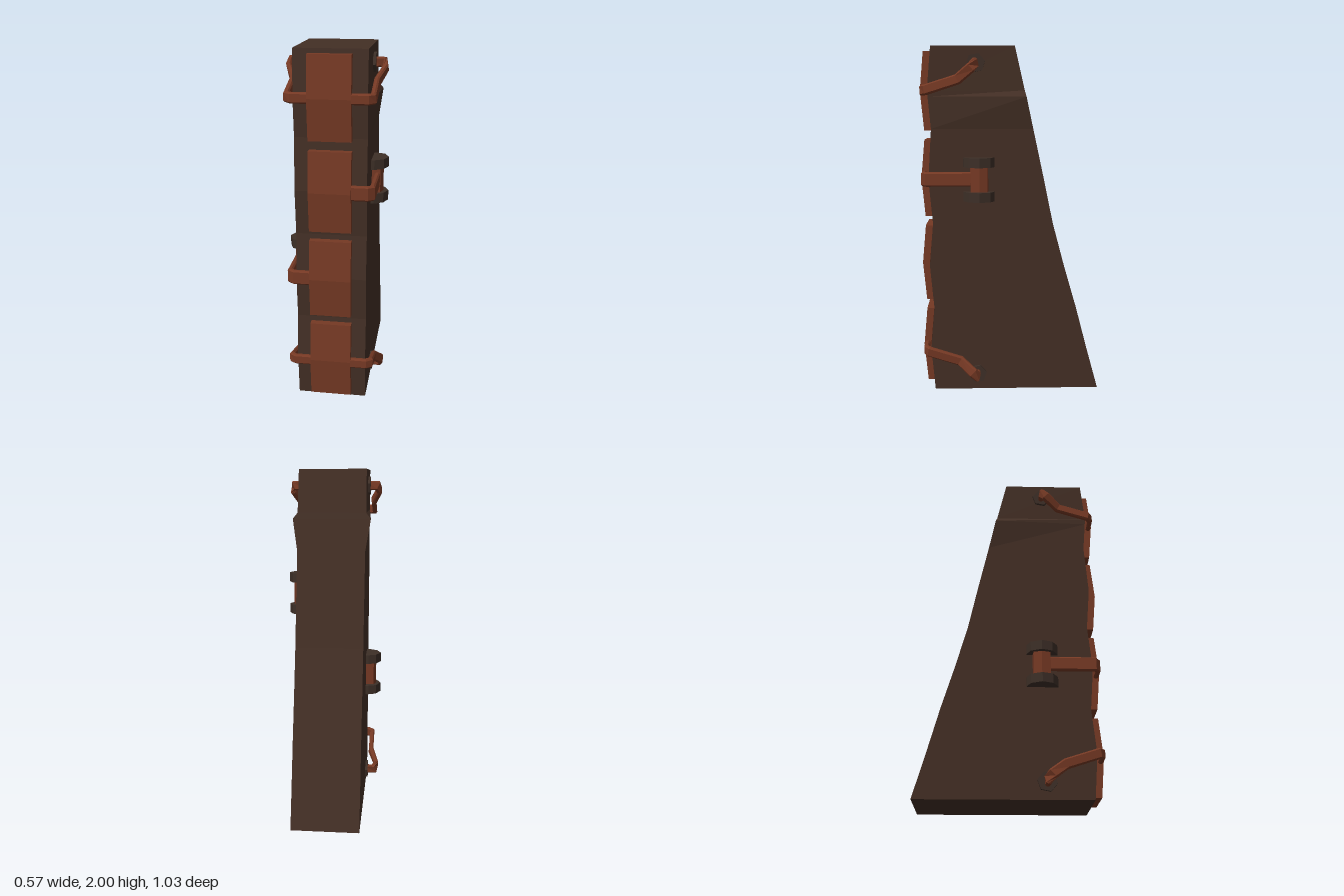
import * as THREE from 'three';

const wood = new THREE.MeshStandardMaterial({ color: 0x432f25 });
wood.name = 'dark brown';
const leather = new THREE.MeshStandardMaterial({ color: 0x763924 });
leather.name = 'red brown';
const iron = new THREE.MeshStandardMaterial({ color: 0x3d2f27 });
iron.name = 'grey brown';

// Skins a list of rings (counter-clockwise seen from the last ring) with flat faces and end caps
function loft(rings) {
  const pos = [];
  const tri = (...pts) => pts.forEach((p) => pos.push(p.x, p.y, p.z));
  const n = rings[0].length;
  for (let r = 0; r < rings.length - 1; r++) {
    const a = rings[r], b = rings[r + 1];
    for (let i = 0; i < n; i++) {
      const j = (i + 1) % n;
      tri(a[i], a[j], b[j]);
      tri(a[i], b[j], b[i]);
    }
  }
  const first = rings[0], last = rings[rings.length - 1];
  for (let i = 1; i < n - 1; i++) {
    tri(first[0], first[i + 1], first[i]);
    tri(last[0], last[i], last[i + 1]);
  }
  const g = new THREE.BufferGeometry();
  g.setAttribute('position', new THREE.Float32BufferAttribute(pos, 3));
  g.computeVertexNormals();
  return g;
}

// Sweeps a chamfered band along a path, mitring the corners
function band(points, height, thick) {
  const h = height / 2, t = thick / 2, c = 0.008;
  const section = [[t, -h + c], [t, h - c], [t - c, h], [-t + c, h],
    [-t, h - c], [-t, -h + c], [-t + c, -h], [t - c, -h]];
  const dirs = points.slice(1).map((p, i) => p.clone().sub(points[i]).normalize());
  const rings = points.map((p, i) => {
    const d0 = dirs[Math.max(i - 1, 0)], d1 = dirs[Math.min(i, dirs.length - 1)];
    const dir = d0.clone().add(d1).normalize();
    const up = new THREE.Vector3(0, 1, 0).addScaledVector(dir, -dir.y).normalize();
    const side = up.clone().cross(dir);
    const mitre = 1 / Math.max(dir.dot(d1), 0.6);
    return section.map(([s, u]) => p.clone().addScaledVector(side, s * mitre).addScaledVector(up, u));
  });
  return loft(rings);
}

// Upright prism from an outline of [x, z] points listed back to front on the +x side
function prism(outline, side, y0, y1) {
  const ordered = side > 0 ? [...outline].reverse() : outline;
  return loft([y0, y1].map((y) => ordered.map(([x, z]) => new THREE.Vector3(side * x, y, z))));
}

export function createModel() {
  const model = new THREE.Group();
  const add = (name, geometry, material) => {
    const mesh = new THREE.Mesh(geometry, material);
    mesh.name = name;
    model.add(mesh);
    return mesh;
  };

  // Tapered body: rows of [y, back z, front z, back half width]
  const rows = [
    [0, -0.515, 0.45, 0.195], [0.25, -0.446, 0.472, 0.195], [0.5, -0.38, 0.45, 0.195],
    [0.75, -0.307, 0.472, 0.195], [1, -0.24, 0.45, 0.195], [1.25, -0.188, 0.472, 0.195],
    [1.54, -0.125, 0.453, 0.195], [1.72, -0.085, 0.469, 0.224], [1.755, -0.076, 0.472, 0.197],
    [2, -0.02, 0.45, 0.195],
  ];
  add('body', loft(rows.map(([y, zb, zf, w]) => [
    new THREE.Vector3(-w, y, zb), new THREE.Vector3(-0.195, y, zf),
    new THREE.Vector3(0.195, y, zf), new THREE.Vector3(w, y, zb),
  ])), wood);

  // Four bent plates up the front
  for (let i = 0; i < 4; i++) {
    const mid = 0.253 + i * 0.5;
    add('frontPlate', loft([[-0.223, 0], [0, 0.021], [0.223, 0]].map(([dy, dz]) => [
      [-0.115, 0.457], [-0.115, 0.498], [0.115, 0.498], [0.115, 0.457],
    ].map(([x, z]) => new THREE.Vector3(x, mid + dy, z + dz)))), leather);
  }

  for (const side of [1, -1]) {
    // Curved straps of the top and bottom plates, each ending in a peg on the flank
    for (const flip of [1, -1]) {
      const path = [[0.1, 0.755, 0.499], [0.2, 0.755, 0.499], [0.226, 0.757, 0.48], [0.226, 0.815, 0.3],
        [0.262, 0.877, 0.225], [0.25, 0.905, 0.2], [0.185, 0.905, 0.2]]
        .map(([x, y, z]) => new THREE.Vector3(side * x, 1 + flip * y, z));
      add('curvedStrap', band(path, 0.058, 0.028), leather);
      const peg = add('strapPeg', new THREE.CylinderGeometry(0.055, 0.055, 0.04, 6).toNonIndexed(), iron);
      peg.geometry.computeVertexNormals();
      peg.rotation.set(0.2, 0, Math.PI / 2);
      peg.position.set(side * 0.19, 1 + flip * 0.905, 0.2);
    }

    // Straight strap to a hinge: upper one on the left, lower one on the right
    const y = side > 0 ? 1.255 : 0.755;
    const path = [[0.1, 0.499], [0.2, 0.499], [0.226, 0.48], [0.226, 0.2]]
      .map(([x, z]) => new THREE.Vector3(side * x, y + 0.003, z));
    add('straightStrap', band(path, 0.082, 0.028), leather);
    add('hingePost', prism([[0.18, 0.13], [0.243, 0.135], [0.257, 0.18], [0.243, 0.23], [0.18, 0.235]],
      side, y - 0.07, y + 0.07), leather);
    const cap = [[0.18, 0.095], [0.212, 0.097], [0.258, 0.118], [0.285, 0.18], [0.262, 0.24], [0.212, 0.272], [0.18, 0.275]];
    for (const dy of [-0.125, 0.07]) add('hingeCap', prism(cap, side, y + dy, y + dy + 0.055), iron);
  }
  return model;
}
